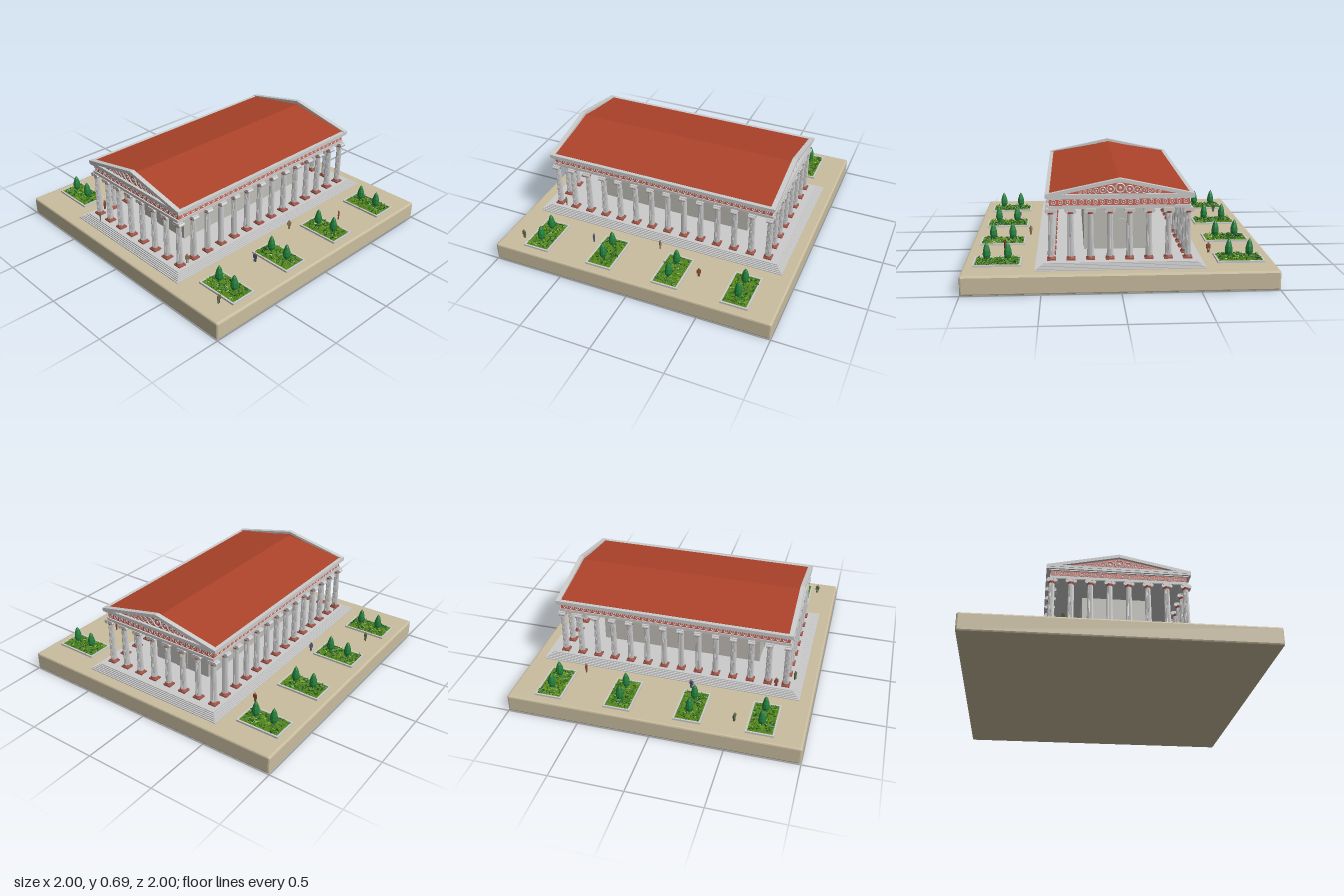
import * as THREE from 'three';
import { mergeGeometries } from 'three/addons/utils/BufferGeometryUtils.js';
import { RoundedBoxGeometry } from 'three/addons/geometries/RoundedBoxGeometry.js';

const mat = (color, extra = {}) => new THREE.MeshStandardMaterial({ color, flatShading: true, ...extra });
const STONE = mat(0xcccccc), SAND = mat(0xc9bd9f), WALL = mat(0xc0bdb6), ROOF = mat(0xad432a);
const RED = mat(0xd4604f), PLINTH = mat(0xa8574a), SOIL = mat(0x55851c), TREE = mat(0x23803c);
const LEAVES = [0x1c5c30, 0x7cab1c, 0x3f8a1f].map(c => mat(c, { side: THREE.DoubleSide }));
const ROBES = [0x8c4a3c, 0x4f5a78, 0x5c6e4a, 0x8a7a5c].map(c => mat(c));
const SKIN = mat(0x8d6248);

let seed = 7;
const rand = () => (seed = (seed * 16807) % 2147483647) / 2147483647;

function add(parent, name, geo, material, x = 0, y = 0, z = 0) {
  const m = new THREE.Mesh(geo, material);
  m.name = name;
  m.position.set(x, y, z);
  parent.add(m);
  return m;
}
// box given by its size and the height of its underside
const box = (w, h, d, x = 0, y = 0, z = 0) => new THREE.BoxGeometry(w, h, d).translate(x, y + h / 2, z);
const outline = pts => new THREE.Shape(pts.map(p => new THREE.Vector2(...p)));
const extrude = (shape, depth) => new THREE.ExtrudeGeometry(shape, { depth, bevelEnabled: false });

// shaft with shallow flutes
function flutedShaft() {
  const g = new THREE.CylinderGeometry(0.018, 0.0215, 0.285, 32, 1, true);
  const p = g.attributes.position;
  for (let i = 0; i < p.count; i++) {
    const k = (i % 33) % 2 ? 0.88 : 1;
    p.setX(i, p.getX(i) * k);
    p.setZ(i, p.getZ(i) * k);
  }
  return g.translate(0, 0.3275, 0);
}

function columnParts() {
  const scrolls = [];
  for (const s of [-1, 1])
    scrolls.push(new THREE.CylinderGeometry(0.0125, 0.0125, 0.046, 12).rotateX(Math.PI / 2).translate(s * 0.024, 0.481, 0));
  return {
    plinth: mergeGeometries([box(0.056, 0.01, 0.056, 0, 0.163),
      new THREE.CylinderGeometry(0.023, 0.027, 0.013, 16).translate(0, 0.179, 0)]),
    shaft: flutedShaft(),
    neckBand: new THREE.CylinderGeometry(0.024, 0.019, 0.012, 16).translate(0, 0.469, 0),
    capital: mergeGeometries([...scrolls, box(0.048, 0.014, 0.042, 0, 0.477), box(0.056, 0.008, 0.048, 0, 0.489)])
  };
}

function columns() {
  const g = new THREE.Group();
  g.name = 'colonnade';
  const parts = columnParts();
  const mats = { plinth: PLINTH, shaft: STONE, neckBand: RED, capital: STONE };
  for (let i = 0; i < 8; i++) for (let j = 0; j < 14; j++) {
    if (i > 0 && i < 7 && j > 0 && j < 13) continue;
    const c = new THREE.Group();
    c.name = 'column';
    c.position.set(-0.4365 + i * 0.1247, 0, 0.802 - j * 0.1226);
    for (const k in parts) add(c, k, parts[k], mats[k]);
    g.add(c);
  }
  return g;
}

const rosette = r => mergeGeometries([new THREE.TorusGeometry(r, r * 0.2, 4, 14),
  new THREE.SphereGeometry(r * 0.4, 8, 5).scale(1, 1, 0.4)]);

function entablature() {
  const g = new THREE.Group();
  g.name = 'entablature';
  add(g, 'architrave', box(0.9, 0.02, 1.63, 0, 0.496, 0.005), STONE);
  add(g, 'frieze', box(0.888, 0.046, 1.61, 0, 0.516, 0.005), RED);
  add(g, 'friezeMoulding', box(0.912, 0.007, 1.63, 0, 0.557, 0.005), STONE);
  add(g, 'cornice', box(0.945, 0.026, 1.65, 0, 0.564, 0.005), STONE);
  // carved roundels along all four sides
  const rings = [];
  for (const s of [-1, 1]) {
    for (let i = 0; i < 20; i++)
      rings.push(rosette(0.0145).translate(-0.418 + i * 0.044, 0.537, s * 0.806 + 0.005));
    for (let i = 0; i < 36; i++)
      rings.push(rosette(0.0145).rotateY(Math.PI / 2).translate(s * 0.445, 0.537, 0.775 - i * 0.044));
  }
  add(g, 'friezeRoundels', mergeGeometries(rings), STONE);
  return g;
}

function gable() {
  const g = new THREE.Group();
  g.name = 'pediment';
  const frame = outline([[-0.472, 0.577], [0.472, 0.577], [0.472, 0.592], [0, 0.692], [-0.472, 0.592]]);
  frame.holes.push(outline([[-0.37, 0.591], [0, 0.669], [0.37, 0.591]]));
  add(g, 'rakingCornice', extrude(frame, 0.033), STONE, 0, 0, 0.796);
  add(g, 'tympanum', extrude(outline([[-0.4, 0.588], [0.4, 0.588], [0, 0.674]]), 0.014), RED, 0, 0, 0.796);
  const rings = [rosette(0.029).translate(0, 0.627, 0)];
  for (const s of [-1, 1]) for (const [x, y, r] of [[0.06, 0.619, 0.023], [0.108, 0.614, 0.019],
    [0.15, 0.61, 0.016], [0.188, 0.607, 0.013], [0.22, 0.604, 0.011], [0.25, 0.601, 0.009]])
    rings.push(rosette(r).translate(s * x, y, 0));
  add(g, 'tympanumRoundels', mergeGeometries(rings), STONE, 0, 0, 0.811);
  return g;
}

function planter(x, z) {
  const g = new THREE.Group();
  g.name = 'planter';
  g.position.set(x, 0.127, z);
  const rim = outline([[-0.155, -0.094], [0.155, -0.094], [0.155, 0.094], [-0.155, 0.094]]);
  rim.holes.push(outline([[-0.143, -0.082], [-0.143, 0.082], [0.143, 0.082], [0.143, -0.082]]));
  add(g, 'curb', extrude(rim, 0.013).rotateX(-Math.PI / 2), STONE);
  add(g, 'soil', box(0.288, 0.011, 0.166), SOIL);
  // spiky ground cover in three greens
  for (const m of LEAVES) {
    const blades = [];
    for (let i = 0; i < 75; i++) {
      const leaf = new THREE.ConeGeometry(0.008, 0.028, 3, 1, true).scale(1, 1, 0.45);
      leaf.rotateZ(0.5 + rand() * 0.9).rotateY(rand() * 6.28);
      blades.push(leaf.translate((rand() - 0.5) * 0.27, 0.012 + rand() * 0.01, (rand() - 0.5) * 0.15));
    }
    add(g, 'groundCover', mergeGeometries(blades), m);
  }
  const profile = [[0.006, 0], [0.006, 0.018], [0.02, 0.024], [0.026, 0.045], [0.023, 0.075], [0.013, 0.108], [0, 0.13]];
  const tree = new THREE.LatheGeometry(profile.map(p => new THREE.Vector2(...p)), 9);
  for (const s of [-1, 1]) add(g, 'cypress', tree, TREE, s * 0.068, 0.01, 0);
  return g;
}

function person(x, y, z, i) {
  const g = new THREE.Group();
  g.name = 'visitor';
  g.position.set(x, y, z);
  g.rotation.y = i * 1.3;
  const robe = [box(0.007, 0.03, 0.007, -0.0045), box(0.007, 0.03, 0.007, 0.0045), box(0.019, 0.027, 0.01, 0, 0.029)];
  for (const s of [-1, 1]) robe.push(box(0.004, 0.028, 0.005, s * 0.012, 0.027));
  add(g, 'clothes', mergeGeometries(robe), ROBES[i % 4]);
  add(g, 'head', new THREE.SphereGeometry(0.0065, 8, 6), SKIN, 0, 0.063, 0);
  return g;
}

export function createModel() {
  const model = new THREE.Group();
  model.name = 'templeDiorama';
  add(model, 'groundSlab', new RoundedBoxGeometry(2, 0.127, 2, 1, 0.012), SAND, 0, 0.0635, 0);

  // stepped platform
  const steps = [];
  for (let i = 0; i < 6; i++)
    steps.push(box(1.08 - i * 0.02, 0.006, 1.835 - i * 0.02, 0, 0.127 + i * 0.006, -0.004));
  add(model, 'steps', mergeGeometries(steps), STONE);

  // inner chamber with a doorway panel at each end
  add(model, 'innerChamber', box(0.45, 0.335, 1.15, 0, 0.163, 0.005), WALL);
  for (const s of [-1, 1]) add(model, 'door', box(0.092, 0.207, 0.006, 0, 0.163, 0.005 + s * 0.577), WALL);

  model.add(columns(), entablature());
  const roof = outline([[-0.445, 0.588], [0.445, 0.588], [0.445, 0.592], [0, 0.667], [-0.445, 0.592]]);
  add(model, 'roof', extrude(roof, 1.6), ROOF, 0, 0, -0.795);
  for (const back of [0, 1]) {
    const g = gable();
    g.rotation.y = back * Math.PI;
    g.position.z = 0.004;
    model.add(g);
  }

  for (const x of [-0.785, 0.785]) for (const z of [-0.727, -0.244, 0.236, 0.716]) model.add(planter(x, z));

  const spots = [[-0.61, -0.575], [-0.59, 0.18], [-0.845, 0.535], [0.6, -0.07], [0.76, -0.42], [0.71, 0.385], [0.86, 0.855]];
  spots.forEach(([x, z], i) => model.add(person(x, 0.127, z, i)));
  [[-0.36, 0.855], [0.45, 0.75], [-0.465, 0.74]].forEach(([x, z], i) => model.add(person(x, 0.163, z, i + 2)));
  return model;
}
